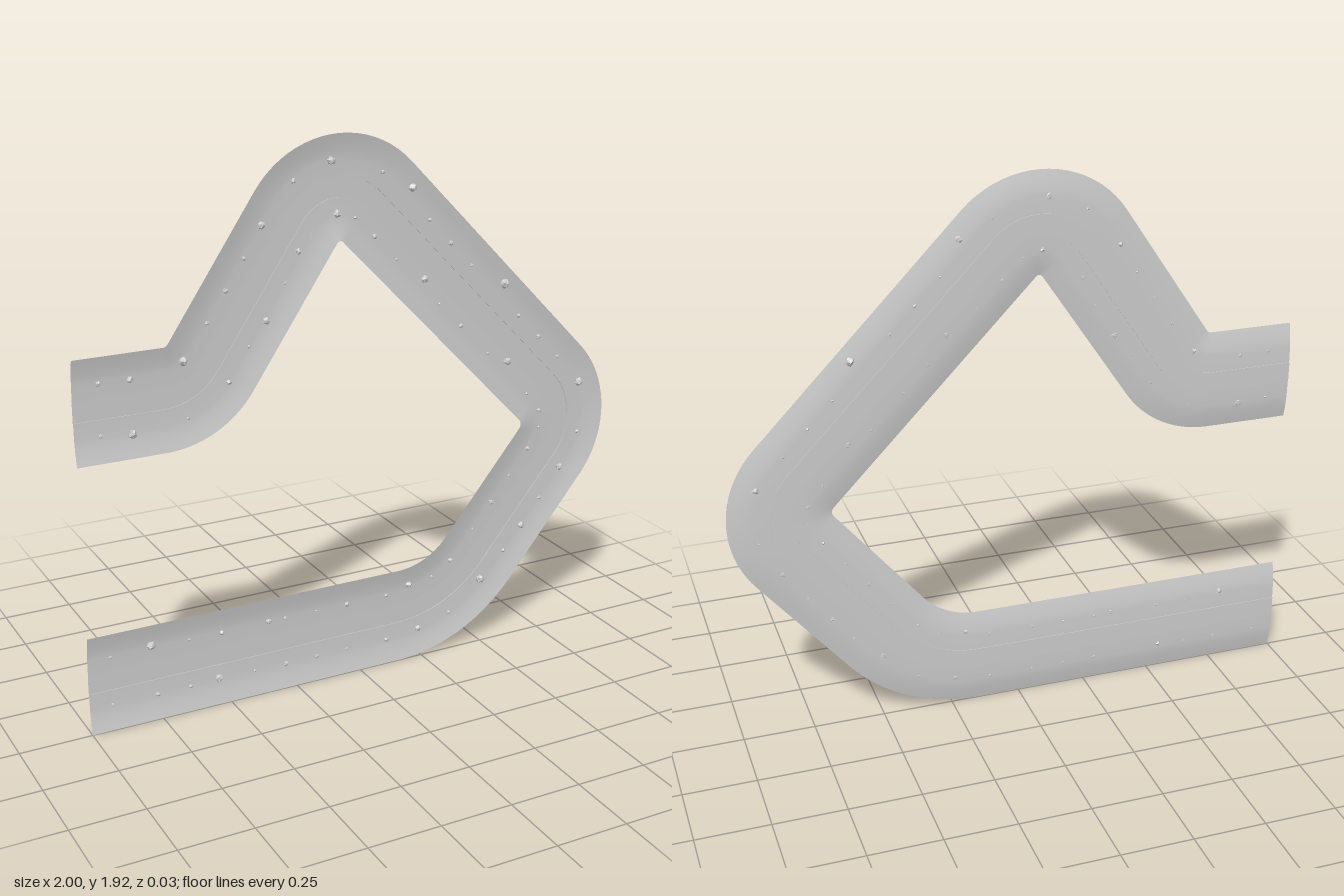
import * as THREE from 'three';

const HALF = 0.176;

// Corners of the centre line, each with its bend radius
const corners = [
  [-1, 0.18, 0], [0.353, 0.18, 0.43], [0.895, 0.838, 0.2],
  [-0.099, 1.861, 0.19], [-0.596, 1.125, 0.196], [-1, 1.125, 0],
];

// Centre line sampled as stations { p, d }: position and unit direction
function stations() {
  const out = [];
  const pts = corners.map(([x, y]) => new THREE.Vector2(x, y));
  const straight = (a, b) => {
    const d = b.clone().sub(a), n = Math.max(1, Math.round(d.length() / 0.04));
    const dir = d.clone().normalize();
    for (let i = 0; i <= n; i++) out.push({ p: a.clone().addScaledVector(d, i / n), d: dir });
  };
  let from = pts[0];
  for (let k = 1; k < pts.length - 1; k++) {
    const d0 = pts[k].clone().sub(pts[k - 1]).normalize();
    const d1 = pts[k + 1].clone().sub(pts[k]).normalize();
    const turn = Math.atan2(d0.cross(d1), d0.dot(d1)), r = corners[k][2];
    const start = pts[k].clone().addScaledVector(d0, -r * Math.tan(Math.abs(turn) / 2));
    straight(from, start);
    const s = Math.sign(turn);
    const centre = start.clone().add(new THREE.Vector2(-d0.y, d0.x).multiplyScalar(r * s));
    for (let i = 1; i < 20; i++) {
      const a = turn * i / 20, d = d0.clone().rotateAround(new THREE.Vector2(), a);
      out.push({ p: start.clone().rotateAround(centre, a), d });
    }
    from = start.clone().rotateAround(centre, turn);
  }
  straight(from, pts[pts.length - 1]);
  return out;
}

// Sweep an open profile of [sideways offset, z] along the stations
function ribbon(path, profile) {
  const pos = [], idx = [], m = profile.length;
  path.forEach(({ p, d }, i) => {
    profile.forEach(([u, z], j) => {
      pos.push(p.x - d.y * u, p.y + d.x * u, z);
      if (i && j) {
        const a = (i - 1) * m + j - 1, b = i * m + j - 1;
        idx.push(a, b, b + 1, a, b + 1, a + 1);
      }
    });
  });
  const g = new THREE.BufferGeometry();
  g.setAttribute('position', new THREE.Float32BufferAttribute(pos, 3));
  g.setIndex(idx);
  g.computeVertexNormals();
  return g;
}

// Larger stones as [x, y, radius]
const largeStones = [
  [-0.78, 0.28, 0.017], [-0.35, 0.27, 0.012], [-0.54, 0.1, 0.015], [0.24, 0.11, 0.013],
  [0.2, 0.29, 0.013], [0.5, 0.25, 0.018], [0.67, 0.43, 0.014], [0.83, 0.63, 0.014],
  [0.9, 0.95, 0.018], [0.59, 1.07, 0.016], [0.57, 1.355, 0.019], [0.25, 1.41, 0.015],
  [0.2, 1.725, 0.016], [-0.1, 1.84, 0.016], [-0.08, 1.665, 0.015], [-0.22, 1.555, 0.012],
  [-0.35, 1.655, 0.015], [-0.34, 1.34, 0.015], [-0.63, 1.245, 0.017],
  [-0.81, 1.03, 0.017], [-0.81, 1.21, 0.012],
];

// Small stones at even spacing on both banks, leaving room for the larger ones
function smallStones(path) {
  const list = [];
  let run = 0.04;
  for (let i = 1; i < path.length; i++) {
    run += path[i].p.distanceTo(path[i - 1].p);
    if (run < 0.115) continue;
    run -= 0.125;
    const { p, d } = path[i];
    for (const u of [0.087, -0.087]) {
      const x = p.x - d.y * u, y = p.y + d.x * u;
      if (largeStones.every(([a, b]) => Math.hypot(a - x, b - y) > 0.06))
        list.push([x, y, 0.006 + 0.002 * (list.length % 3)]);
    }
  }
  return list;
}

// Faceted stone with corners pushed in and out by a position rule
function stoneGeometry(seed) {
  const g = new THREE.IcosahedronGeometry(1, 1), p = g.attributes.position;
  const v = new THREE.Vector3();
  for (let i = 0; i < p.count; i++) {
    v.fromBufferAttribute(p, i);
    v.multiplyScalar(0.87 + 0.16 * Math.sin(5 * v.x + seed) * Math.cos(4 * v.y - seed)
      + 0.08 * Math.sin(7 * v.z + 2 * seed));
    p.setXYZ(i, v.x, v.y, v.z);
  }
  g.computeVertexNormals();
  return g;
}

export function createModel() {
  const model = new THREE.Group();
  const surface = new THREE.MeshStandardMaterial({ color: 0xcccccc, side: THREE.DoubleSide });
  const stoneMat = new THREE.MeshStandardMaterial({ color: 0xcccccc, flatShading: true });
  const path = stations();
  const add = (parent, name, geo, mat) => {
    const mesh = new THREE.Mesh(geo, mat);
    mesh.name = name;
    parent.add(mesh);
    return mesh;
  };

  // Channel: sloping banks, small steps and a flat bed
  const bank = [[0.034, -0.0155], [0.09, -0.0145], [0.115, -0.012], [0.145, -0.007], [HALF, 0]];
  const step = [[0.034, -0.018], [0.034, -0.0155]];
  const mirror = (profile) => profile.map(([u, z]) => [-u, z]).reverse();
  const channel = new THREE.Group();
  channel.name = 'channel';
  add(channel, 'leftBank', ribbon(path, bank), surface);
  add(channel, 'rightBank', ribbon(path, mirror(bank)), surface);
  add(channel, 'leftStep', ribbon(path, step), surface);
  add(channel, 'rightStep', ribbon(path, mirror(step)), surface);
  add(channel, 'bed', ribbon(path, [[-0.034, -0.018], [0.034, -0.018]]), surface);
  model.add(channel);

  // Stones scattered on the banks
  const stones = new THREE.Group();
  stones.name = 'stones';
  const shapes = [0, 1, 2, 3].map((k) => stoneGeometry(1 + 1.7 * k));
  [...largeStones, ...smallStones(path)].forEach(([x, y, r], i) => {
    const stone = add(stones, 'stone', shapes[i % 4], stoneMat);
    stone.position.set(x, y, -0.0145 + 0.5 * r);
    stone.scale.set(r, r * 0.9, r * 0.85);
    stone.rotation.z = i * 2.4;
  });
  model.add(stones);
  return model;
}
